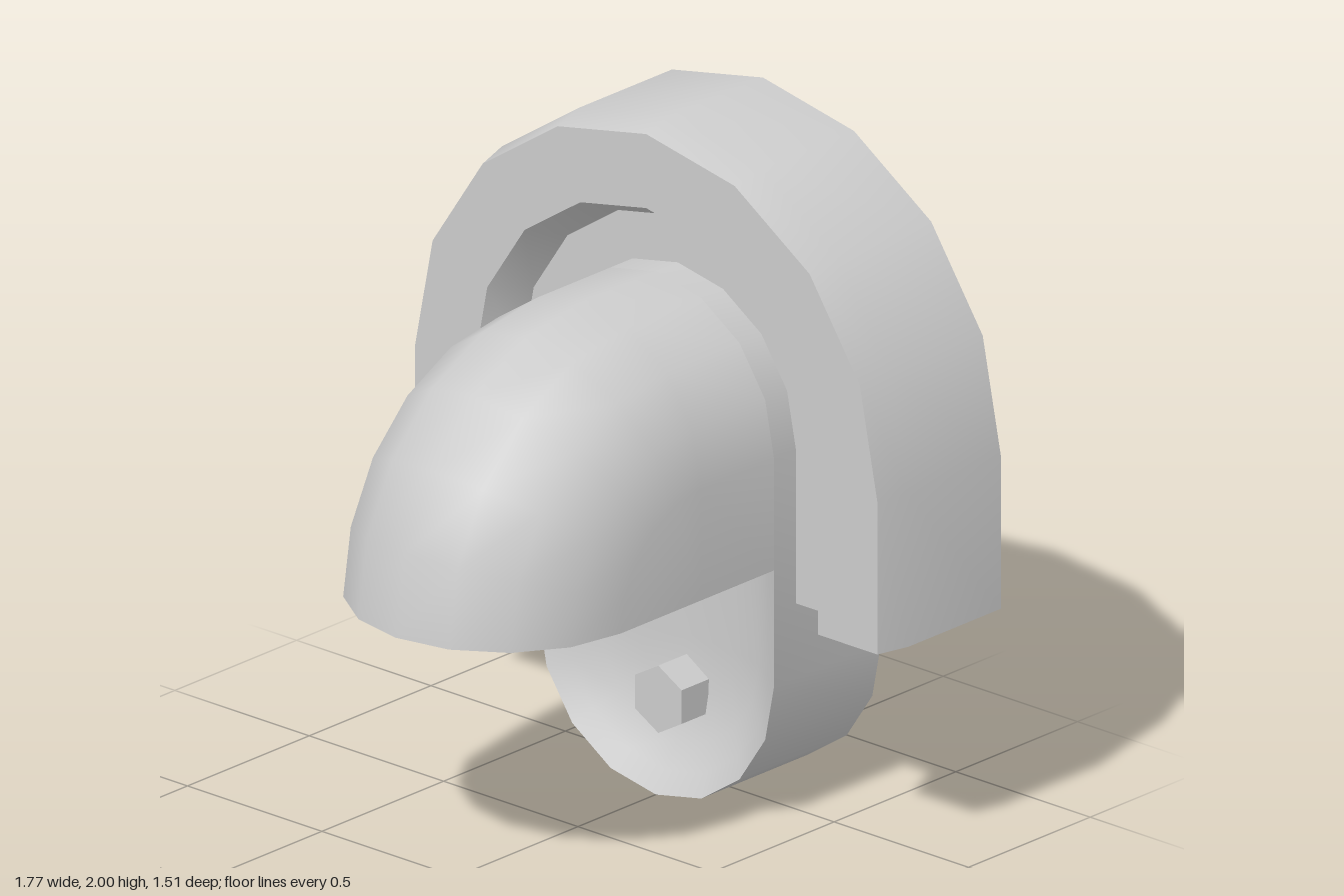
import * as THREE from 'three';
import { toCreasedNormals } from 'three/addons/utils/BufferGeometryUtils.js';

const material = new THREE.MeshStandardMaterial({ color: 0xcccccc });
const BACK = -0.76, ARCH_Y = 1.115, LOW_Y = 0.44, FOOT_Y = 0.66;
const HOOD_Y = 0.785, BEND_Z = -0.02, R = 0.44, R_IN = 0.38;
const SEG = 8;

// Skin through rows of points, all rows having the same number of points
function skin(rows, closed) {
  const n = rows[0].length, index = [];
  for (let i = 0; i < rows.length - 1; i++) {
    for (let j = 0; j < (closed ? n : n - 1); j++) {
      const k = (j + 1) % n;
      const a = i * n + j, b = i * n + k, c = (i + 1) * n + k, d = (i + 1) * n + j;
      index.push(a, b, c, a, c, d);
    }
  }
  const g = new THREE.BufferGeometry();
  g.setAttribute('position', new THREE.Float32BufferAttribute(rows.flat(2), 3));
  g.setIndex(index);
  return toCreasedNormals(g, 0.6);
}

// Half circle from angle start, centred at height cy, as [x, y] pairs
function halfCircle(r, cy, start = 0) {
  return Array.from({ length: SEG + 1 }, (_, i) => {
    const a = start + (i / SEG) * Math.PI;
    return [r * Math.cos(a), cy + r * Math.sin(a)];
  });
}

// Arch with straight legs down to footY
const archPath = (r, cy, footY) => [[r, footY], ...halfCircle(r, cy), [-r, footY]];
const stadiumPath = r => [...halfCircle(r, ARCH_Y), ...halfCircle(r, LOW_Y, Math.PI)];

export function createModel() {
  const group = new THREE.Group();
  const add = (name, geometry) => {
    const mesh = new THREE.Mesh(geometry, material);
    mesh.name = name;
    group.add(mesh);
    return mesh;
  };

  // Bevelled arch collar with a stepped-back inner floor: [radius, z]
  const collar = [[R, BACK], [0.885, BACK], [0.885, -0.38], [0.86, -0.28],
    [0.64, -0.28], [0.58, -0.41], [R, -0.41]];
  add('archCollar', skin(collar.map(([r, z]) =>
    archPath(r, ARCH_Y, FOOT_Y).map(([x, y]) => [x, y, z])), false));

  // Flat undersides of the collar legs
  for (const side of [1, -1]) {
    const shape = new THREE.Shape(collar.map(([r, z]) => new THREE.Vector2(side * r, z)));
    const foot = add(side > 0 ? 'leftCollarFoot' : 'rightCollarFoot',
      new THREE.ShapeGeometry(shape).rotateX(Math.PI / 2));
    foot.position.y = FOOT_Y;
  }

  // Long rounded body with a shallow dished front
  const body = [[0, BACK], [R, BACK], [R, -0.32], [R_IN, -0.36],
    [0.3, -0.41], [0.18, -0.44], [0, -0.45]];
  add('dishedBody', skin(body.map(([r, z]) =>
    stadiumPath(r).map(([x, y]) => [x, y, z])), true));

  // Hollow hood: arch section run forward, then bent down a quarter turn
  const outer = archPath(R, ARCH_Y - HOOD_Y, 0);
  const inner = archPath(R_IN, ARCH_Y - HOOD_Y, 0);
  const section = [...outer, ...inner.slice().reverse()];
  const bend = (pts, t) => pts.map(([x, h]) =>
    [x, HOOD_Y + h * Math.cos(t), BEND_Z + h * Math.sin(t)]);
  const rows = [section.map(([x, h]) => [x, HOOD_Y + h, -0.32])];
  for (let i = 0; i <= 5; i++) rows.push(bend(section, (i / 5) * Math.PI / 2));
  add('hood', skin(rows, true));
  add('hoodRim', skin([bend(outer, Math.PI / 2), bend(inner, Math.PI / 2)], false));

  // Hexagonal stud in the dish and long hexagonal bar under the hood
  for (const [name, y, front] of [['hexStud', 0.28, -0.33], ['hexBar', 0.95, 0.58]]) {
    const length = front + 0.46;
    const hex = add(name, toCreasedNormals(
      new THREE.CylinderGeometry(0.1, 0.1, length, 6).rotateX(Math.PI / 2), 0.6));
    hex.position.set(0, y, front - length / 2);
  }
  return group;
}
